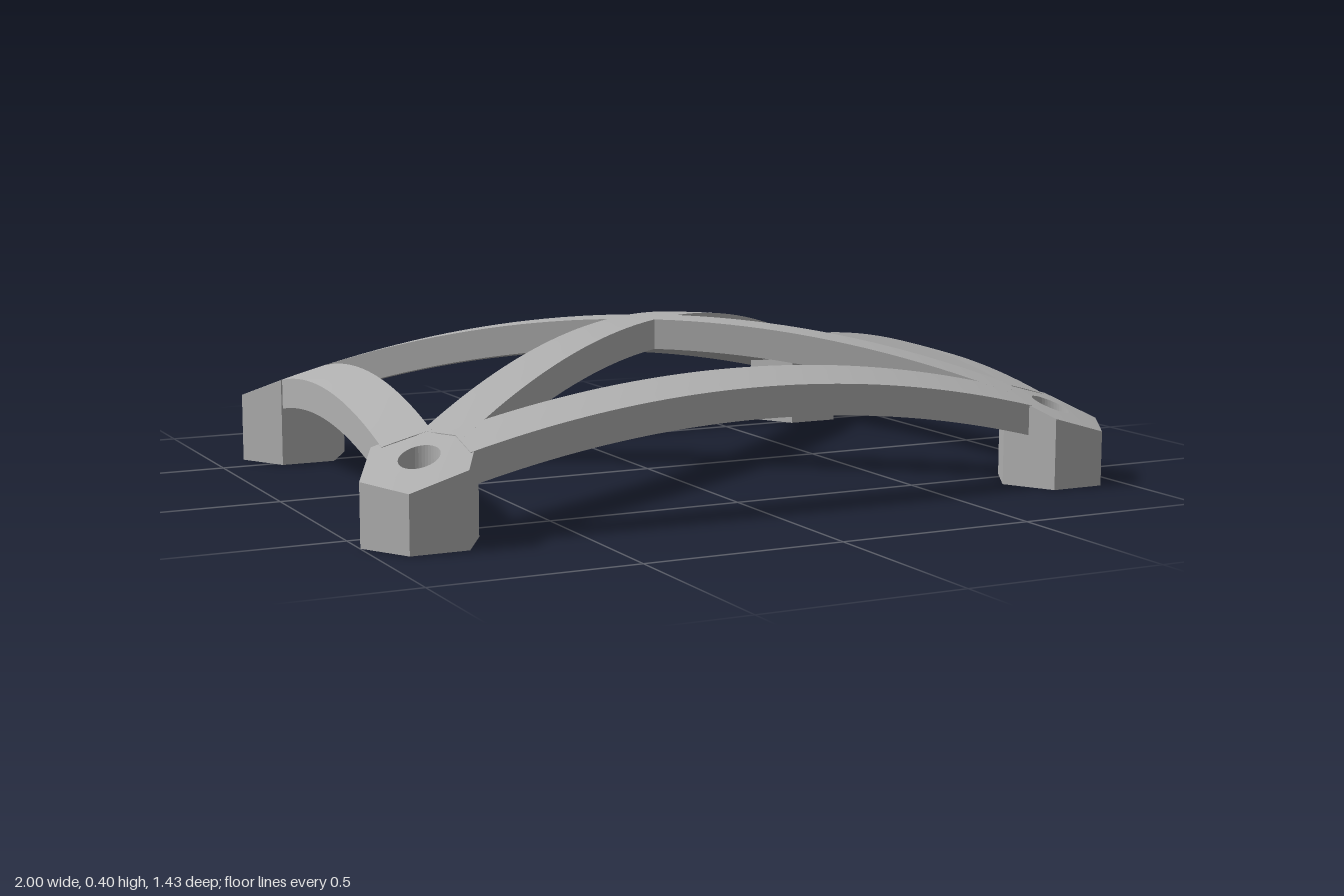
import * as THREE from 'three';

const THICK = 0.077, BAR = 0.118, HEX = 0.142, BORE = 0.048;
// Corner post centres [x, z], in order around the frame
const CORNERS = [[-0.857, 0.59], [0.857, 0.59], [0.775, -0.595], [-0.775, -0.595]];

// Domed upper surface and its normal
const top = (x, z) => 0.4 - x * x / 5.8 - z * z / 4.5;
const topNormal = (x, z) => new THREE.Vector3(x / 2.9, 1, z / 2.25).normalize();

// Curved bar between two post centres, stopping short of the bores
function barGeometry([ax, az], [bx, bz]) {
  const dx = bx - ax, dz = bz - az;
  const g = new THREE.BoxGeometry(BAR, 1, Math.hypot(dx, dz) - 0.2, 4, 1, 40);
  g.rotateY(Math.atan2(dx, dz)).translate((ax + bx) / 2, 0, (az + bz) / 2);
  const p = g.attributes.position;
  for (let i = 0; i < p.count; i++) {
    p.setY(i, top(p.getX(i), p.getZ(i)) - (p.getY(i) > 0 ? 0 : THICK));
  }
  g.computeVertexNormals();
  return g;
}

// Hexagonal post with a through bore, its top following the dome
function postGeometry([cx, cz]) {
  const hex = new THREE.Shape();
  for (let i = 0; i < 6; i++) {
    const a = i * Math.PI / 3, x = HEX * Math.cos(a), y = HEX * Math.sin(a);
    if (i) hex.lineTo(x, y); else hex.moveTo(x, y);
  }
  hex.closePath();
  hex.holes.push(new THREE.Path().absarc(0, 0, BORE, 0, Math.PI * 2, true));
  const g = new THREE.ExtrudeGeometry(hex, { depth: 1, bevelEnabled: false, curveSegments: 20 });
  g.rotateX(-Math.PI / 2).translate(cx, 0, cz);
  const p = g.attributes.position, n = g.attributes.normal;
  for (let i = 0; i < p.count; i++) {
    const x = p.getX(i), z = p.getZ(i);
    if (p.getY(i) > 0.5) p.setY(i, top(x, z));
    if (n.getY(i) > 0.5) {
      const v = topNormal(x, z);
      n.setXYZ(i, v.x, v.y, v.z);
    }
  }
  return g;
}

export function createModel() {
  const group = new THREE.Group();
  group.name = 'domedFrame';
  const grey = new THREE.MeshStandardMaterial({ color: 0xb0b0b0 });
  grey.name = 'grey';
  const add = (name, geometry) => {
    const mesh = new THREE.Mesh(geometry, grey);
    mesh.name = name;
    group.add(mesh);
  };

  // Posts
  ['frontRightPost', 'frontLeftPost', 'backLeftPost', 'backRightPost']
    .forEach((name, i) => add(name, postGeometry(CORNERS[i])));

  // Four edge bars and two crossing bars
  [['frontBar', 0, 1], ['leftBar', 1, 2], ['backBar', 2, 3], ['rightBar', 3, 0],
    ['crossBarA', 0, 2], ['crossBarB', 1, 3]]
    .forEach(([name, a, b]) => add(name, barGeometry(CORNERS[a], CORNERS[b])));

  return group;
}
